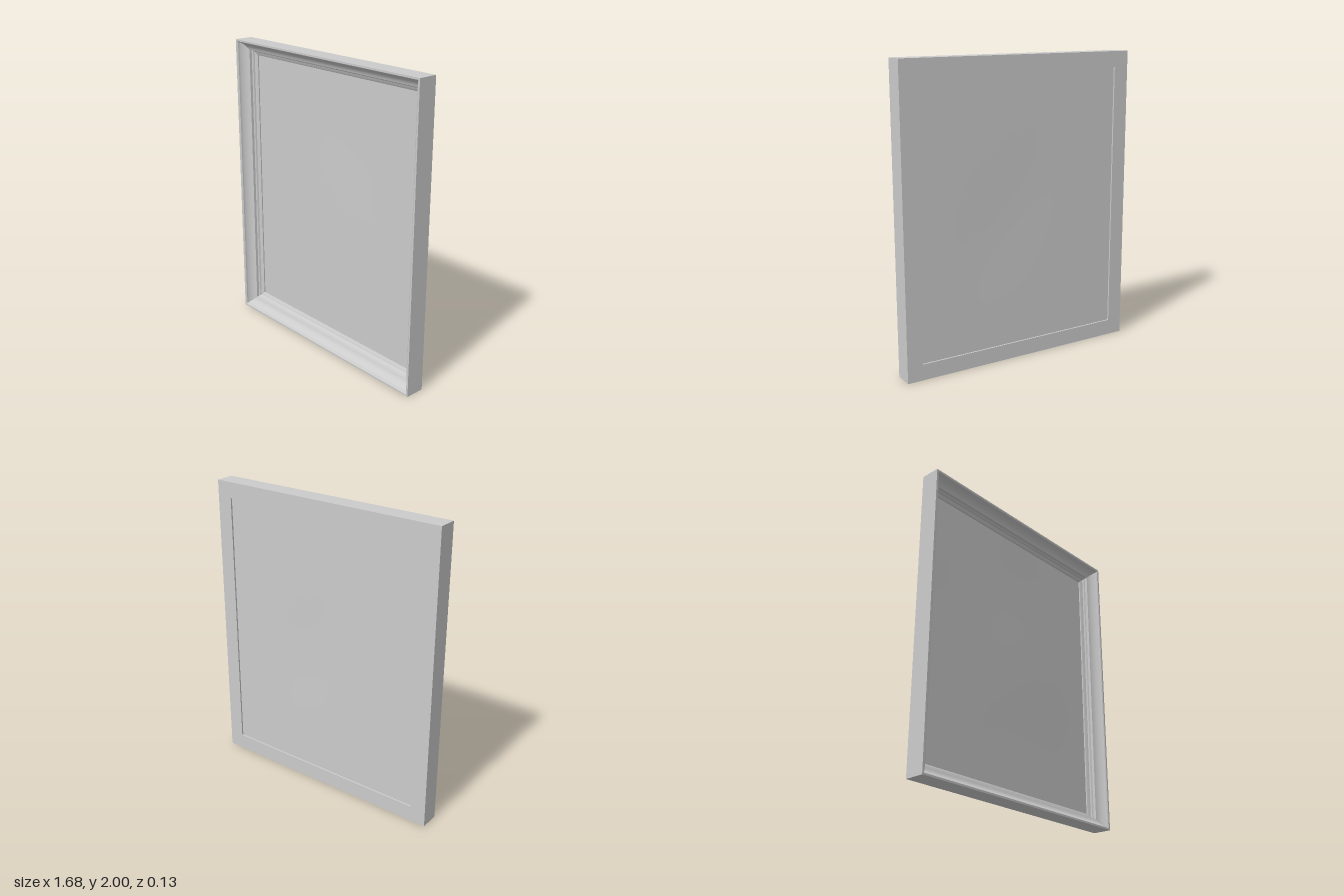
import * as THREE from 'three';
import { toCreasedNormals } from 'three/addons/utils/BufferGeometryUtils.js';

const W = 1.68, H = 2, D = 0.13;
const material = new THREE.MeshStandardMaterial({ color: 0xcccccc });

// Sweeps a closed profile of [inset, z] points round a rectangle with mitred corners
function mitredFrame(profile) {
  const corners = [[-1, -1], [1, -1], [1, 1], [-1, 1]];
  const point = ([inset, z], k) => {
    const [sx, sy] = corners[k % 4];
    return [sx * (W / 2 - inset), H / 2 + sy * (H / 2 - inset), z];
  };
  const positions = [];
  profile.forEach((a, i) => {
    const b = profile[(i + 1) % profile.length];
    for (let k = 0; k < 4; k++) {
      const a0 = point(a, k), a1 = point(a, k + 1);
      const b0 = point(b, k), b1 = point(b, k + 1);
      positions.push(...a0, ...a1, ...b1, ...a0, ...b1, ...b0);
    }
  });
  const geometry = new THREE.BufferGeometry();
  geometry.setAttribute('position', new THREE.Float32BufferAttribute(positions, 3));
  return toCreasedNormals(geometry, 0.4);
}

export function createModel() {
  const group = new THREE.Group();
  group.name = 'pictureFrame';

  // Moulding: flat lip, sloping cove, then small steps down to the opening
  const cove = new THREE.CubicBezierCurve(
    new THREE.Vector2(0.018, 0.056), new THREE.Vector2(0.027, 0.03),
    new THREE.Vector2(0.045, 0.012), new THREE.Vector2(0.07, 0.005)
  ).getPoints(8).map(p => [p.x, p.y]);
  const profile = [
    [0, -D / 2], [0, D / 2], [0.012, D / 2], [0.018, 0.06],
    ...cove,
    [0.072, -0.012], [0.08, -0.018],
    [0.084, -0.028], [0.1, -0.034],
    [0.106, -0.038], [0.106, -D / 2],
  ];
  const frame = new THREE.Mesh(mitredFrame(profile), material);
  frame.name = 'frame';
  group.add(frame);

  // Canvas: thin sheet with a faint ripple, set just in front of the back face
  const sheet = new THREE.BoxGeometry(W - 0.204, H - 0.204, 0.008, 24, 30, 1);
  const pos = sheet.attributes.position;
  for (let i = 0; i < pos.count; i++) {
    const x = pos.getX(i), y = pos.getY(i);
    const fade = Math.cos(x / 0.738 * Math.PI / 2) * Math.cos(y / 0.898 * Math.PI / 2);
    pos.setZ(i, pos.getZ(i) + 0.003 * fade * Math.sin(3.5 * x + 1) * Math.cos(4 * y + 2 * x));
  }
  sheet.computeVertexNormals();
  const canvas = new THREE.Mesh(sheet, material);
  canvas.name = 'canvas';
  canvas.position.set(0, H / 2, -0.05);
  group.add(canvas);

  return group;
}
